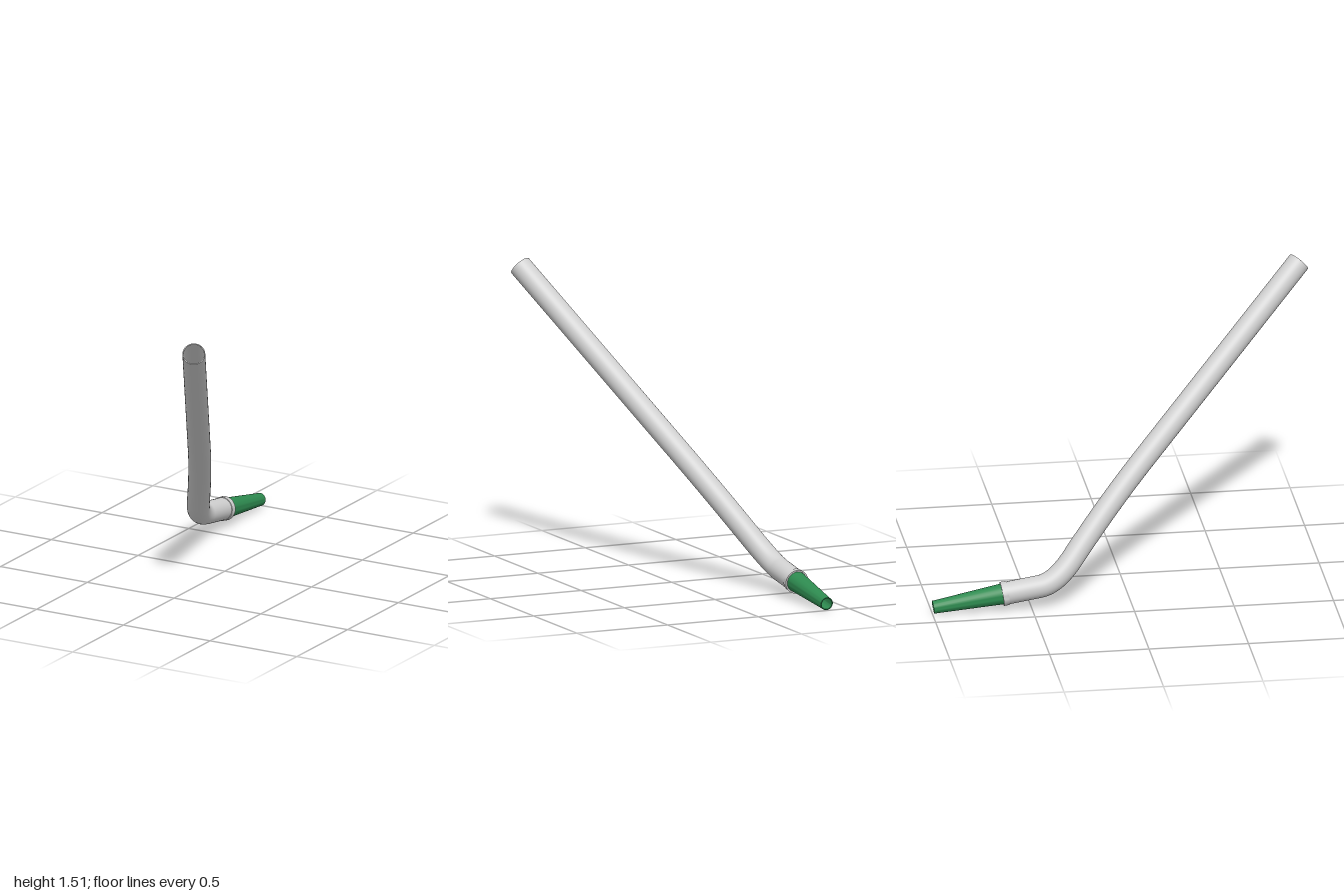
import * as THREE from 'three';
import { toCreasedNormals } from 'three/addons/utils/BufferGeometryUtils.js';

const V = (x, y, z) => new THREE.Vector3(x, y, z);

export function createModel() {
  const model = new THREE.Group();
  const grey = new THREE.MeshStandardMaterial({ color: 0xd0d0d0, side: THREE.DoubleSide });
  grey.name = 'pale grey';
  const green = new THREE.MeshStandardMaterial({ color: 0x2e8b50, side: THREE.DoubleSide });
  green.name = 'green';

  const add = (name, geometry, material) => {
    const mesh = new THREE.Mesh(geometry, material);
    mesh.name = name;
    model.add(mesh);
    return mesh;
  };

  // Centre line: long straight run, gentle bend, tight elbow, short neck
  const top = V(0.38, 1.47, 0.955), bendStart = V(-0.077, 0.661, 0.12);
  const bendEnd = V(-0.316, 0.238, -0.28), elbowEnd = V(-0.38, 0.114, -0.46);
  const neckEnd = V(-0.38, 0.085, -0.65), tip = V(-0.38, 0.034, -0.995);
  const path = new THREE.CurvePath();
  path.add(new THREE.LineCurve3(top, bendStart));
  path.add(new THREE.QuadraticBezierCurve3(bendStart, V(-0.188, 0.465, -0.083), bendEnd));
  path.add(new THREE.QuadraticBezierCurve3(bendEnd, V(-0.38, 0.127, -0.375), elbowEnd));
  path.add(new THREE.LineCurve3(elbowEnd, neckEnd));

  // Hollow pipe
  const outer = 0.057, inner = 0.052;
  add('pipeOuterWall', new THREE.TubeGeometry(path, 120, outer, 40), grey);
  add('pipeInnerWall', new THREE.TubeGeometry(path, 120, inner, 40), grey);
  const rim = add('pipeRim', new THREE.RingGeometry(inner, outer, 40), grey);
  rim.position.copy(top);
  rim.quaternion.setFromUnitVectors(V(0, 0, 1), top.clone().sub(bendStart).normalize());

  // Turned parts along the neck axis; each profile is [radius, distance from neck end]
  const axis = tip.clone().sub(neckEnd);
  const length = axis.length();
  axis.normalize();
  const turned = (name, profile, material) => {
    const points = profile.map(([r, d]) => new THREE.Vector2(r, d));
    const mesh = add(name, toCreasedNormals(new THREE.LatheGeometry(points, 40), 0.6), material);
    mesh.position.copy(neckEnd);
    mesh.quaternion.setFromUnitVectors(V(0, 1, 0), axis);
  };
  turned('collar', [
    [0.056, -0.03], [0.06, -0.03], [0.061, 0], [0.053, 0], [0.052, -0.03], [0.056, -0.03],
  ], grey);
  turned('mouthpiece', [
    [0.047, -0.03], [0.052, -0.03], [0.052, 0], [0.033, length - 0.015], [0.033, length],
    [0.028, length], [0.028, length - 0.015], [0.047, 0], [0.047, -0.03],
  ], green);

  return model;
}
